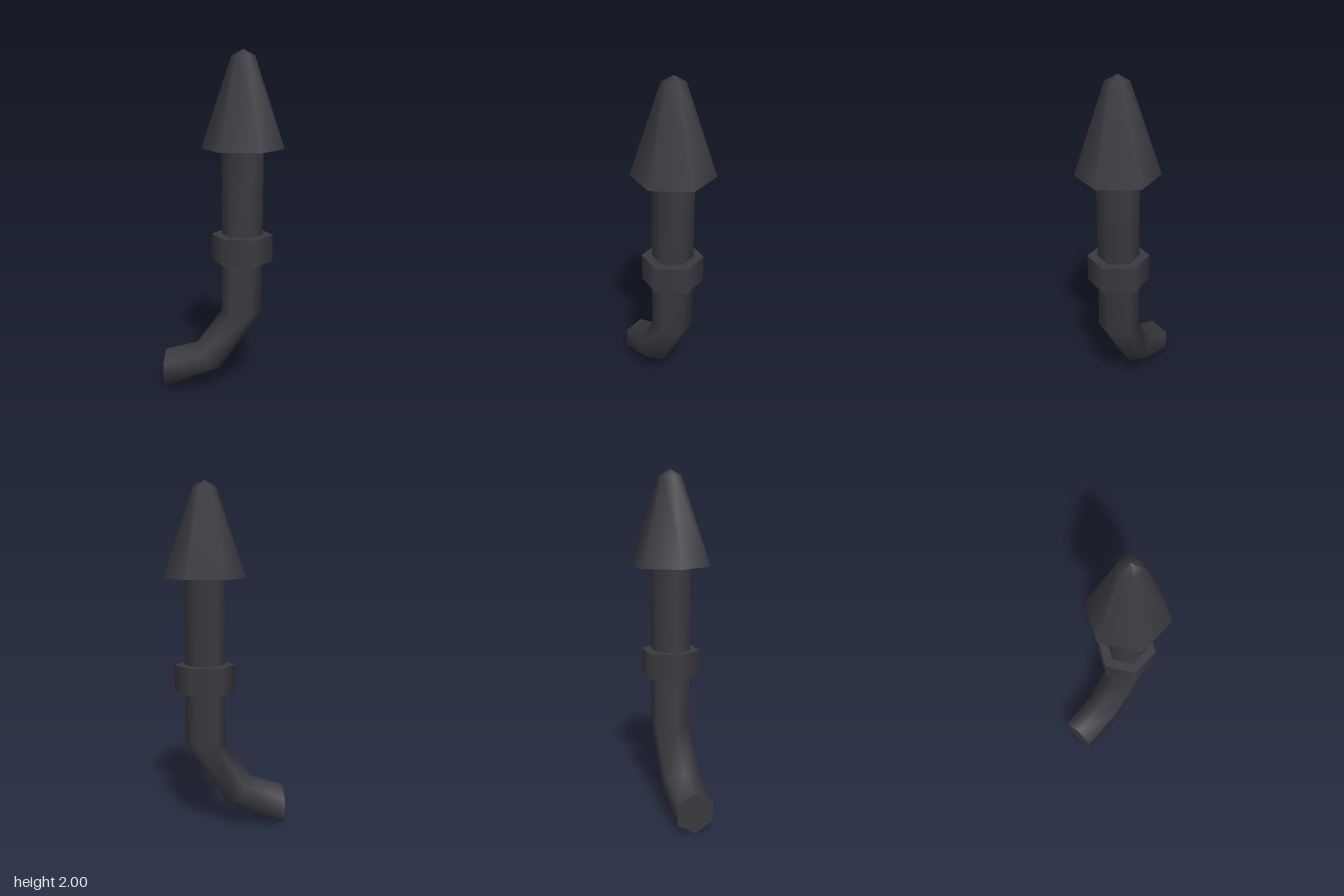
import * as THREE from 'three';

const SIDES = 6;
const AXIS_X = 0.11; // vertical axis of the straight section
const PIPE_R = 0.118;

// Lofts six-sided rings, each given by its outer and inner corner in the xy plane
function loftPipe(rings) {
  const pos = [], index = [];
  for (const [ox, oy, ix, iy] of rings) {
    for (let j = 0; j < SIDES; j++) {
      const a = (j / SIDES) * Math.PI * 2, c = Math.cos(a) / 2;
      pos.push((ox + ix) / 2 + c * (ox - ix), (oy + iy) / 2 + c * (oy - iy), Math.sin(a) * PIPE_R);
    }
  }
  for (let i = 0; i < rings.length - 1; i++) {
    for (let j = 0; j < SIDES; j++) {
      const a = i * SIDES + j, b = i * SIDES + (j + 1) % SIDES;
      index.push(a, a + SIDES, b, b, a + SIDES, b + SIDES);
    }
  }
  const g = new THREE.BufferGeometry();
  g.setAttribute('position', new THREE.Float32BufferAttribute(pos, 3));
  g.setIndex(index);
  g.computeVertexNormals();
  return g;
}

export function createModel() {
  const model = new THREE.Group();
  const darkIron = new THREE.MeshStandardMaterial({ color: 0x3a393f });
  darkIron.name = 'darkIron';

  const add = (name, geometry, x = 0, y = 0) => {
    const mesh = new THREE.Mesh(geometry, darkIron);
    mesh.name = name;
    mesh.position.set(x, y, 0);
    model.add(mesh);
  };

  // Bent pipe, from the open-air end up to the cap
  add('pipe', loftPipe([
    [-0.347, 0.001, -0.347, 0.24],
    [-0.025, 0.13, -0.155, 0.295],
    [AXIS_X + PIPE_R, 0.5, AXIS_X - PIPE_R, 0.5],
    [AXIS_X + PIPE_R, 1.46, AXIS_X - PIPE_R, 1.46],
  ]));
  add('pipeEnd', new THREE.CircleGeometry(0.119, SIDES).rotateZ(Math.PI / 2).rotateY(-Math.PI / 2), -0.347, 0.12);

  // Collar around the straight section
  add('collar', new THREE.CylinderGeometry(0.176, 0.176, 0.155, SIDES, 1, false, Math.PI / 2), AXIS_X, 0.887);

  // Pointed cap with a blunt tip and a flat underside
  const profile = [[0.235, 1.457], [0.065, 1.966], [0, 2]].map(([r, y]) => new THREE.Vector2(r, y));
  add('spireCap', new THREE.LatheGeometry(profile, SIDES, Math.PI / 2), AXIS_X);
  add('spireBase', new THREE.CircleGeometry(0.235, SIDES).rotateX(Math.PI / 2), AXIS_X, 1.457);

  return model;
}
